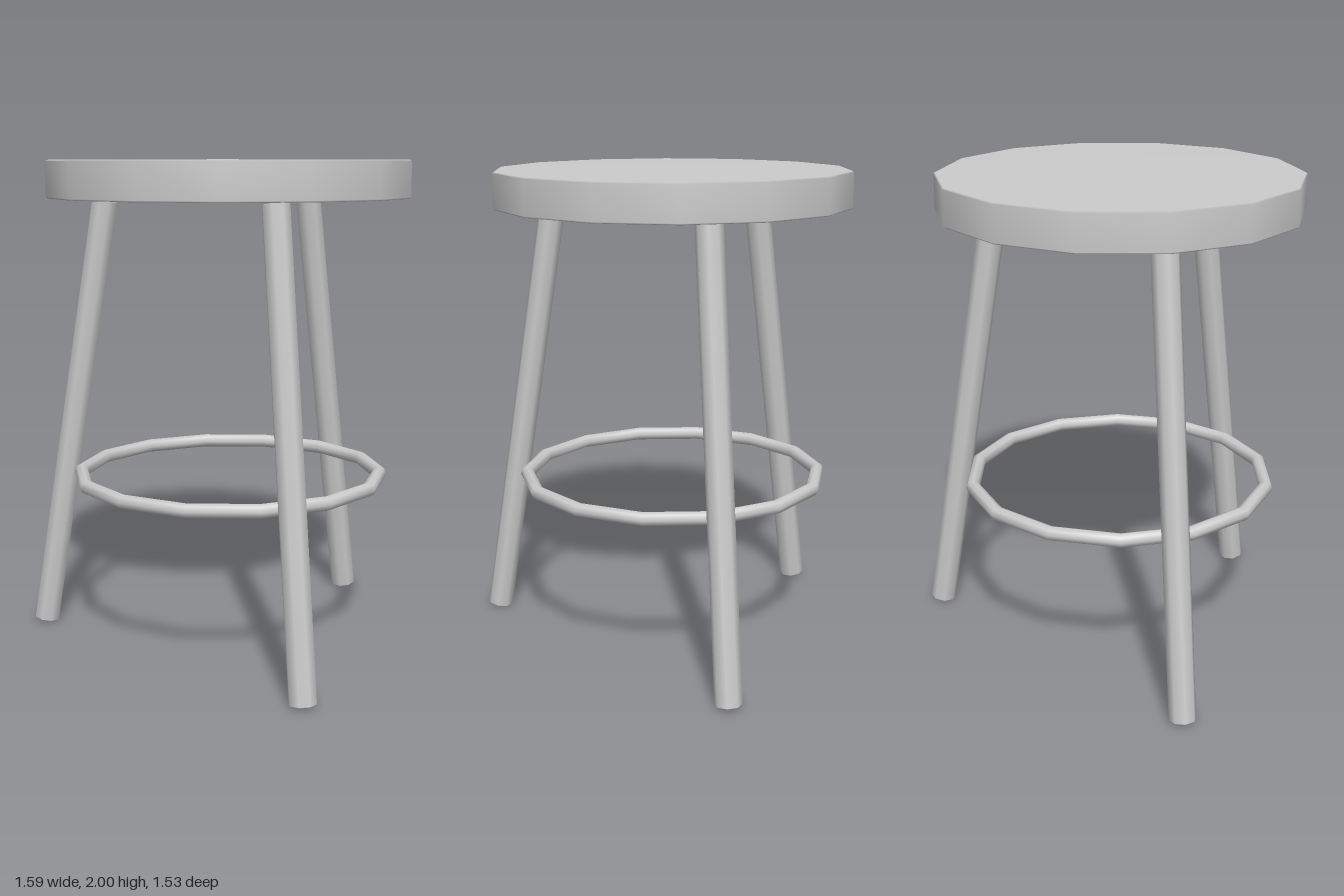
import * as THREE from 'three';

const AXIS_X = -0.082; // the stool's own centre line
const material = new THREE.MeshStandardMaterial({ color: 0xcccccc });

// Solid round bar from y0 to y1 with a fine bevel on both rims
function bevelledDisc(radius, y0, y1, bevel, sides, phase = 0) {
  const profile = [
    [0, y0], [radius - bevel, y0], [radius, y0 + bevel],
    [radius, y1 - bevel], [radius - bevel, y1], [0, y1],
  ].map(([x, y]) => new THREE.Vector2(x, y));
  return new THREE.LatheGeometry(profile, sides, phase);
}

function addPart(parent, name, geometry) {
  const mesh = new THREE.Mesh(geometry, material);
  mesh.name = name;
  parent.add(mesh);
  return mesh;
}

export function createModel() {
  const stool = new THREE.Group();
  stool.name = 'stool';

  // Fourteen-sided seat
  addPart(stool, 'seat', bevelledDisc(0.736, 1.85, 2, 0.006, 14)).position.x = AXIS_X;

  // Three splayed octagonal legs
  const up = new THREE.Vector3(0, 1, 0);
  ['leftLeg', 'frontRightLeg', 'backRightLeg'].forEach((name, i) => {
    const angle = (i * Math.PI * 2) / 3;
    const at = (r, y) => new THREE.Vector3(AXIS_X + r * Math.cos(angle), y, r * Math.sin(angle));
    const foot = at(0.826, 0.009);
    const span = at(0.524, 1.838).sub(foot);
    const leg = addPart(stool, name, bevelledDisc(0.055, 0, span.length(), 0.004, 8, Math.PI / 8));
    leg.position.copy(foot);
    leg.quaternion.setFromUnitVectors(up, span.normalize());
  });

  // Foot ring, touching the inner side of the legs
  const ring = addPart(stool, 'footRing', new THREE.TorusGeometry(0.628, 0.029, 8, 14));
  ring.rotation.x = Math.PI / 2;
  ring.position.set(AXIS_X, 0.707, 0);

  return stool;
}
